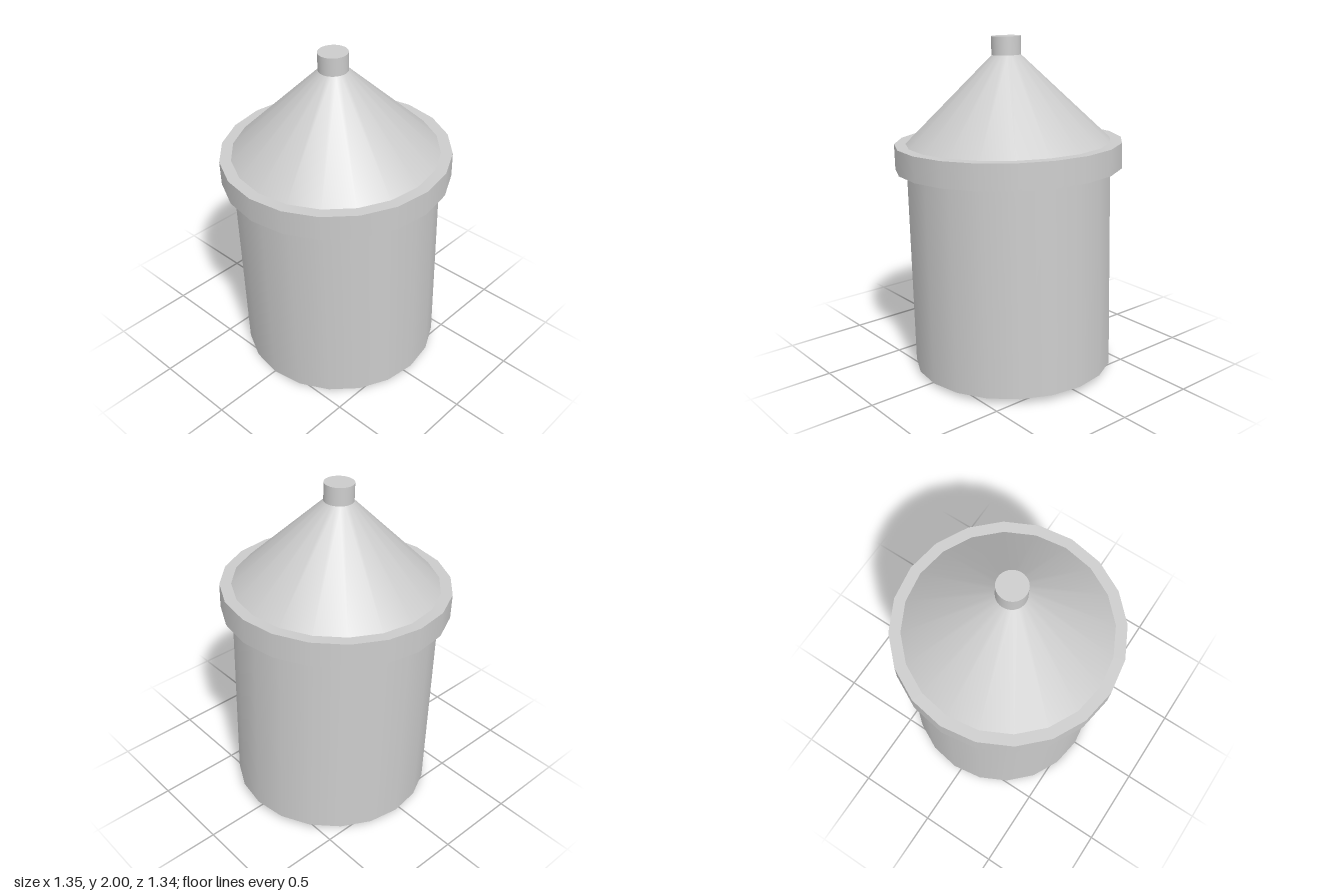
import * as THREE from 'three';

export function createModel() {
  const model = new THREE.Group();
  model.name = 'canister';
  const material = new THREE.MeshStandardMaterial({ color: 0xcccccc });

  // Everything sits on one axis, leaning two degrees
  const leaning = new THREE.Group();
  leaning.name = 'leaningCanister';
  leaning.position.set(0.045, 0.021, 0);
  leaning.rotation.z = THREE.MathUtils.degToRad(2);
  model.add(leaning);

  const addRound = (name, topRadius, bottomRadius, y0, y1, sides) => {
    const geometry = new THREE.CylinderGeometry(topRadius, bottomRadius, y1 - y0, sides);
    const mesh = new THREE.Mesh(geometry, material);
    mesh.name = name;
    mesh.position.y = (y0 + y1) / 2;
    leaning.add(mesh);
  };

  addRound('body', 0.605, 0.605, 0, 1.23, 20);
  addRound('rim', 0.672, 0.672, 1.22, 1.369, 20);
  addRound('conicalRoof', 0.084, 0.605, 1.369, 1.871, 20);
  addRound('cap', 0.086, 0.086, 1.871, 1.977, 32);

  return model;
}
